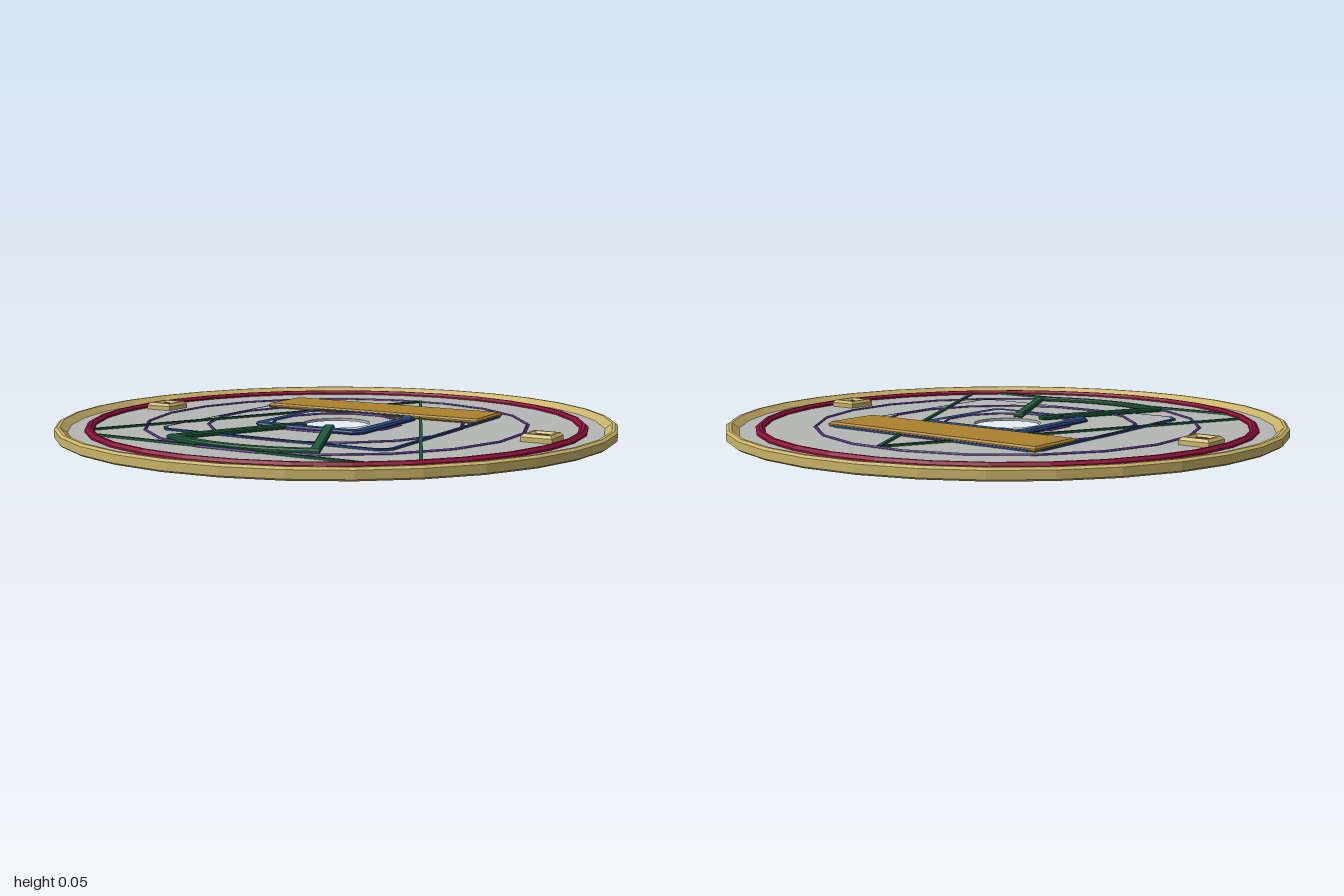
import * as THREE from 'three';

const mat = (name, color) => {
  const m = new THREE.MeshStandardMaterial({ color });
  m.name = name;
  return m;
};

const V = (x, y) => new THREE.Vector2(x, y);

// Regular polygon outline; offset turns a flat edge towards the front
function polygon(r, n, offset = 0) {
  return Array.from({ length: n }, (_, i) => {
    const a = ((i + offset) / n) * Math.PI * 2;
    return V(r * Math.sin(a), r * Math.cos(a));
  });
}

// Square outline with clipped corners
function clippedSquare(s, c) {
  const k = s - c;
  return [V(s, -k), V(s, k), V(k, s), V(-k, s), V(-s, k), V(-s, -k), V(-k, -s), V(k, -s)];
}

function flat(geometry) {
  const g = geometry.index ? geometry.toNonIndexed() : geometry;
  g.computeVertexNormals();
  return g;
}

// Horizontal slab from an outline given as (x, z), with optional hole and bevel
function slab(outline, hole, y, h, bevel = 0) {
  const flip = (pts) => pts.map((p) => V(p.x, -p.y));
  const shape = new THREE.Shape(flip(outline));
  if (hole) shape.holes.push(new THREE.Path(flip(hole)));
  const g = new THREE.ExtrudeGeometry(shape, {
    depth: h - 2 * bevel, bevelEnabled: bevel > 0, bevelSegments: 1,
    bevelSize: bevel, bevelThickness: bevel, bevelOffset: -bevel,
  });
  g.rotateX(-Math.PI / 2);
  g.translate(0, y + bevel, 0);
  return flat(g);
}

// Ring turned from a closed (radius, height) section with n straight sides
function ring(section, n, offset = 0) {
  const pts = [...section, section[0]].map(([r, y]) => V(r, y));
  return flat(new THREE.LatheGeometry(pts, n, (offset / n) * Math.PI * 2));
}

// Section of a ridged band: outer foot, top, inner foot
const band = (r, w, y, h) => [
  [r - w / 2, y], [r + w / 2, y], [r + w / 2, y + h * 0.4], [r, y + h], [r - w / 2, y + h * 0.4],
];

export function createModel() {
  const model = new THREE.Group();
  model.name = 'engravedDisc';

  const grey = mat('plate grey', 0xb4b7b4);
  const brass = mat('pale brass', 0xc9b468);
  const gold = mat('dark gold', 0xab822c);
  const crimson = mat('crimson', 0x8c0f38);
  const green = mat('deep green', 0x1c5a3a);
  const blue = mat('deep blue', 0x24447e);
  const purple = mat('violet', 0x50307f);
  const brown = mat('dark brown', 0x4a2f2c);

  const add = (name, geometry, material, parent = model) => {
    const mesh = new THREE.Mesh(geometry, material);
    mesh.name = name;
    parent.add(mesh);
    return mesh;
  };

  const top = 0.02;

  // Thin plate with the central hole, held by a faceted rim
  add('plate', slab(polygon(0.97, 32), polygon(0.122, 16), 0.01, 0.01), grey);
  add('rim', ring([
    [0.975, 0], [0.992, 0], [1, 0.006], [1, 0.033], [0.99, 0.04], [0.98, 0.04], [0.955, 0.02], [0.955, 0.012],
  ], 32), brass);
  add('crimsonRing', ring([
    [0.866, top - 0.004], [0.898, top - 0.004], [0.898, 0.026], [0.887, 0.035], [0.877, 0.035], [0.866, 0.026],
  ], 32), crimson);

  // Fine polygonal rings
  [[0.69, 20], [0.464, 16], [0.237, 12]].forEach(([r, n], i) =>
    add('violetRing' + (i + 1), ring(band(r, 0.012, top - 0.002, 0.008), n, 0.5), purple));

  // Square frames
  add('outerSquareLine', slab(clippedSquare(0.458, 0.035), clippedSquare(0.446, 0.031), top - 0.002, 0.009), blue);
  add('innerSquareFrame', slab(clippedSquare(0.223, 0.03), clippedSquare(0.19, 0.02), top - 0.002, 0.016, 0.006), blue);

  // Fine triangle with its front corners clipped at the ring
  const triangle = new THREE.Group();
  triangle.name = 'triangleLine';
  model.add(triangle);
  const corners = [[0, -0.675], [0.645, 0.6], [0.575, 0.675], [-0.575, 0.675], [-0.645, 0.6]];
  corners.forEach(([x, z], i) => {
    const [u, w] = corners[(i + 1) % corners.length];
    const bar = add('triangleSide', new THREE.BoxGeometry(Math.hypot(u - x, w - z) + 0.006, 0.009, 0.012), green, triangle);
    bar.position.set((x + u) / 2, top + 0.003, (z + w) / 2);
    bar.rotation.y = -Math.atan2(w - z, u - x);
  });

  // Sector-shaped frame, open towards the hole
  const arc = (r, a) => Array.from({ length: 9 }, (_, i) => {
    const t = -a + (i / 8) * 2 * a;
    return V(r * Math.sin(t), r * Math.cos(t));
  });
  add('sectorFrame', slab([
    V(-0.07, 0.13), ...arc(0.672, 0.462), V(0.07, 0.13), V(0.035, 0.145),
    ...arc(0.638, 0.41).reverse(), V(-0.035, 0.145),
  ], null, top - 0.002, 0.018, 0.005), green);

  // Raised gold bar behind the hole
  add('goldBar', slab([V(-0.455, -0.455), V(0.455, -0.455), V(0.455, -0.23), V(-0.455, -0.23)], null, top - 0.002, 0.02, 0.007), gold);

  // Small square sockets on both sides
  const q = Math.SQRT2;
  for (const side of [1, -1]) {
    const socket = new THREE.Group();
    socket.name = side > 0 ? 'leftSocket' : 'rightSocket';
    socket.position.x = side * 0.787;
    model.add(socket);
    add('socketFrame', ring([
      [0.03 * q, top - 0.004], [0.055 * q, top - 0.004], [0.055 * q, 0.036], [0.046 * q, 0.046], [0.037 * q, 0.046], [0.03 * q, 0.038],
    ], 4, 0.5), brass, socket);
    const inset = add('socketInset', new THREE.BoxGeometry(0.062, 0.008, 0.062), brown, socket);
    inset.position.y = 0.034;
  }

  return model;
}
